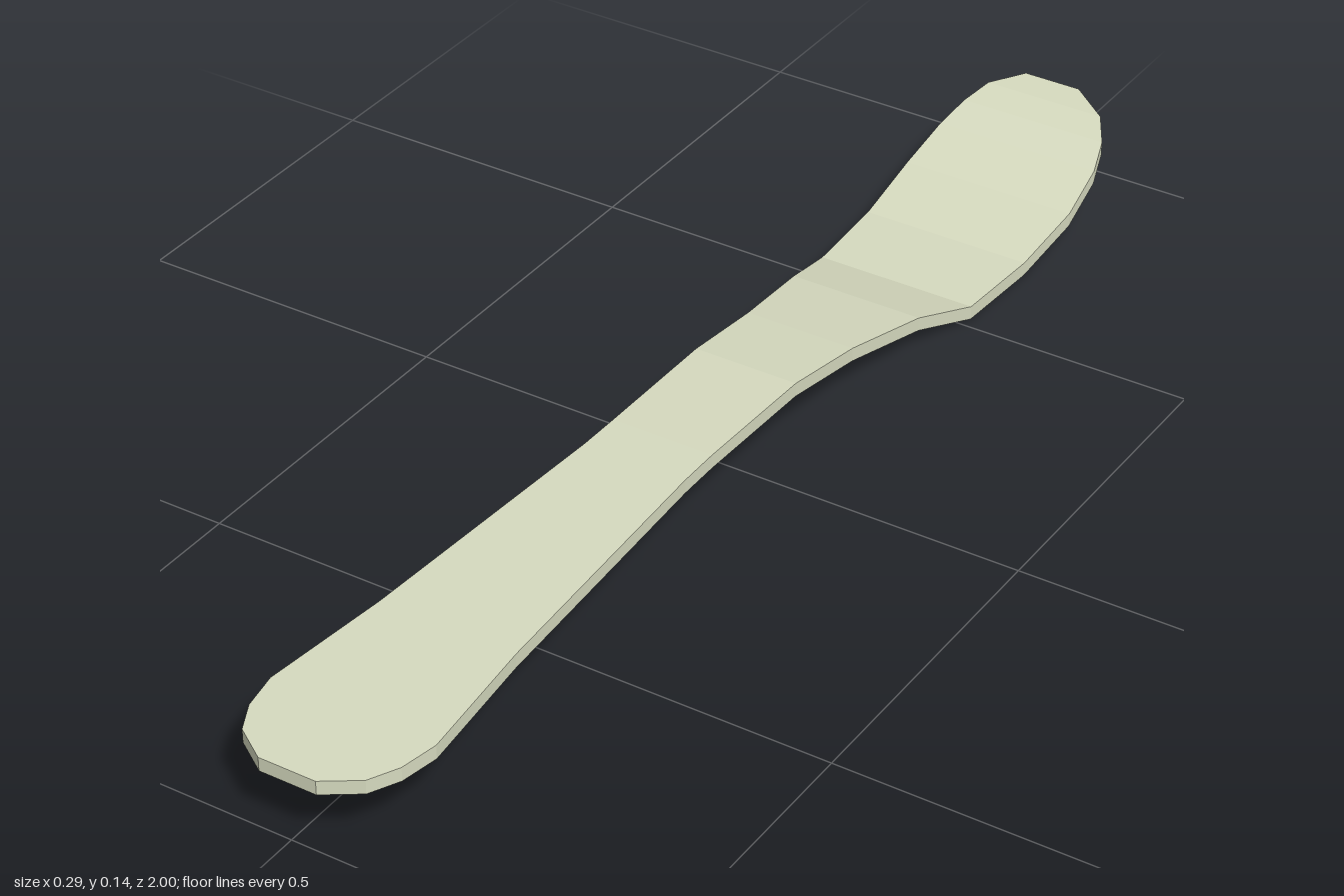
import * as THREE from 'three';

// Stations from handle end to bowl tip: [z, half width, underside height]
const STATIONS = [
  [1.0, 0.045, 0.093], [0.965, 0.097, 0.093], [0.92, 0.12, 0.093], [0.86, 0.131, 0.093],
  [0.65, 0.109, 0.093], [0.2, 0.083, 0.093], [0.13, 0.082, 0.093], [-0.09, 0.084, 0.089],
  [-0.24, 0.089, 0.067], [-0.4, 0.108, 0.038], [-0.52, 0.13, 0.0], [-0.67, 0.138, 0.0],
  [-0.8, 0.144, 0.022], [-0.89, 0.137, 0.05], [-0.94, 0.123, 0.072], [-0.975, 0.1, 0.094],
  [-1.0, 0.047, 0.115],
];
const THICKNESS = 0.022;

// A segmented bar whose cross-sections are moved onto the stations
function createBladeGeometry() {
  const n = STATIONS.length - 1;
  const geometry = new THREE.BoxGeometry(2, 1, 2, 1, 1, n);
  const p = geometry.attributes.position;
  for (let i = 0; i < p.count; i++) {
    const [z, halfWidth, bottom] = STATIONS[Math.round((1 - p.getZ(i)) / 2 * n)];
    p.setXYZ(i, p.getX(i) * halfWidth, bottom + (p.getY(i) > 0 ? THICKNESS : 0), z);
  }
  geometry.computeVertexNormals();
  return geometry;
}

export function createModel() {
  const group = new THREE.Group();
  group.name = 'spoon';
  const material = new THREE.MeshStandardMaterial({ color: 0xd6dabf, flatShading: true });
  // Handle and shallow scoop in one continuous strip
  const body = new THREE.Mesh(createBladeGeometry(), material);
  body.name = 'spoonBody';
  group.add(body);
  return group;
}
